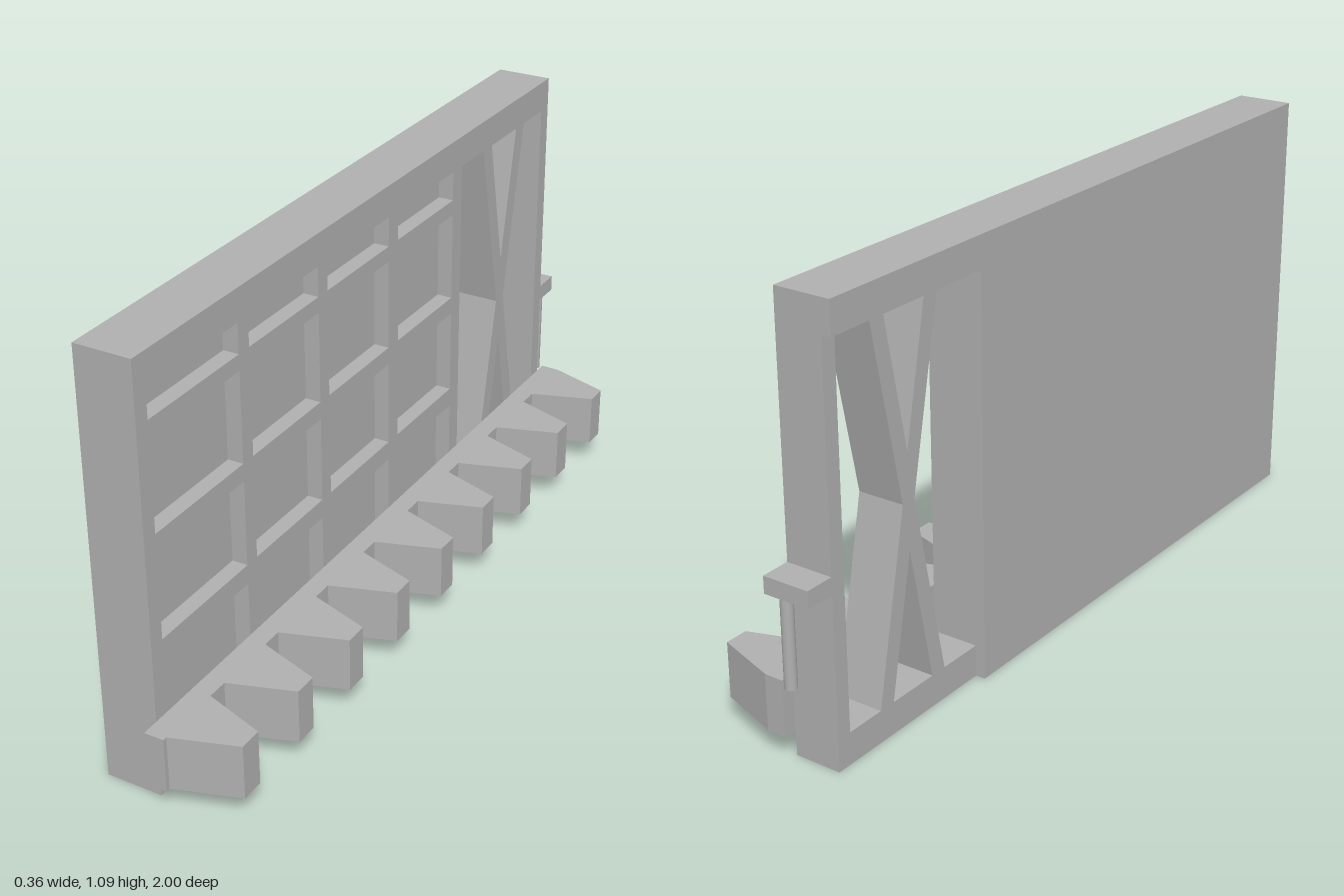
import * as THREE from 'three';

const Z0 = -0.955, Z1 = 0.925;   // gate length, measured along -z
const TOP = 1.085, LOW = 0.08, HIGH = 1.005;
const BACK = -0.18, INNER = -0.155, FLOOR = -0.075, FRONT = -0.035;

const poly = (pts, Type = THREE.Shape) => new Type(pts.map(([a, b]) => new THREE.Vector2(a, b)));
const rect = (a0, b0, a1, b1) => [[a0, b0], [a1, b0], [a1, b1], [a0, b1]];

export function createModel() {
  const group = new THREE.Group();
  const grey = new THREE.MeshStandardMaterial({ color: 0xb0b0b0 });
  grey.name = 'plain grey';

  const add = (name, geometry) => {
    const mesh = new THREE.Mesh(geometry, grey);
    mesh.name = name;
    group.add(mesh);
    return mesh;
  };
  const extrude = (shape, depth) =>
    new THREE.ExtrudeGeometry(shape, { depth, bevelEnabled: false, curveSegments: 16 });
  // outline in (-z, y), thickness along x
  const sideSlab = (name, shape, x0, x1) =>
    add(name, extrude(shape, x1 - x0).rotateY(Math.PI / 2).translate(x0, 0, 0));
  // outline in (x, -z), thickness along y
  const flatSlab = (name, shape, y0, y1) =>
    add(name, extrude(shape, y1 - y0).rotateX(-Math.PI / 2).translate(0, y0, 0));
  const box = (name, x0, x1, y0, y1, z0, z1) =>
    add(name, new THREE.BoxGeometry(x1 - x0, y1 - y0, z1 - z0)
      .translate((x0 + x1) / 2, (y0 + y1) / 2, (z0 + z1) / 2));

  // openings around the crossed braces
  const flip = pts => pts.map(([u, v]) => [u, LOW + HIGH - v]);
  const upper = [[0.595, HIGH], [0.735, HIGH], [0.665, 0.66]];
  const braceOpenings = [
    upper, flip(upper),
    [[0.43, LOW], [0.55, LOW], [0.645, 0.5425], [0.55, HIGH], [0.43, HIGH]],
    [[0.885, LOW], [0.78, LOW], [0.685, 0.5425], [0.78, HIGH], [0.885, HIGH]],
  ];

  // recessed panels of the front face
  const columns = [[-0.915, -0.585], [-0.545, -0.26], [-0.22, 0.06], [0.105, 0.385]];
  const rows = [[LOW, 0.345], [0.395, 0.615], [0.66, 0.89], [0.93, HIGH]];
  const panels = columns.flatMap(([u0, u1]) => rows.map(([v0, v1]) => rect(u0, v0, u1, v1)));

  const pierced = holes => {
    const shape = poly(rect(Z0, 0.05, Z1, TOP));
    holes.forEach(h => shape.holes.push(poly(h, THREE.Path)));
    return shape;
  };
  sideSlab('gateCore', pierced(braceOpenings), INNER, FLOOR);
  sideSlab('panelFrame', pierced([...braceOpenings, ...panels]), FLOOR, FRONT);

  // back skin, stepped around the braced end
  sideSlab('backSkin', poly([[Z0, 0], [0.43, 0], [0.43, HIGH], [Z1, HIGH], [Z1, TOP], [Z0, TOP]]),
    BACK, INNER);

  // bottom rail with two blind round holes
  const rail = poly(rect(INNER, Z0, FRONT, Z1));
  for (const u of [-0.83, 0.825]) {
    rail.holes.push(new THREE.Path().absarc(-0.095, u, 0.032, 0, Math.PI * 2, true));
  }
  flatSlab('bottomRail', rail, 0, 0.05);

  // toothed rack
  const rack = [[FRONT, 0.96], [FRONT, -1], [0.015, -1]];
  for (let i = 8; i >= 0; i--) {
    const u = 0.875 - i * 0.2225;
    rack.push([0.015, u - 0.084], [0.175, u - 0.03], [0.175, u + 0.03], [0.015, u + 0.084]);
  }
  flatSlab('toothedRack', poly(rack), 0.063, 0.203);

  // latch bracket and its hanging pin
  box('latchBracket', INNER, FRONT, 0.43, 0.472, -1, -Z1);
  add('latchPin', new THREE.CylinderGeometry(0.015, 0.015, 0.235, 20)).position.set(-0.06, 0.3125, -0.96);

  return group;
}
